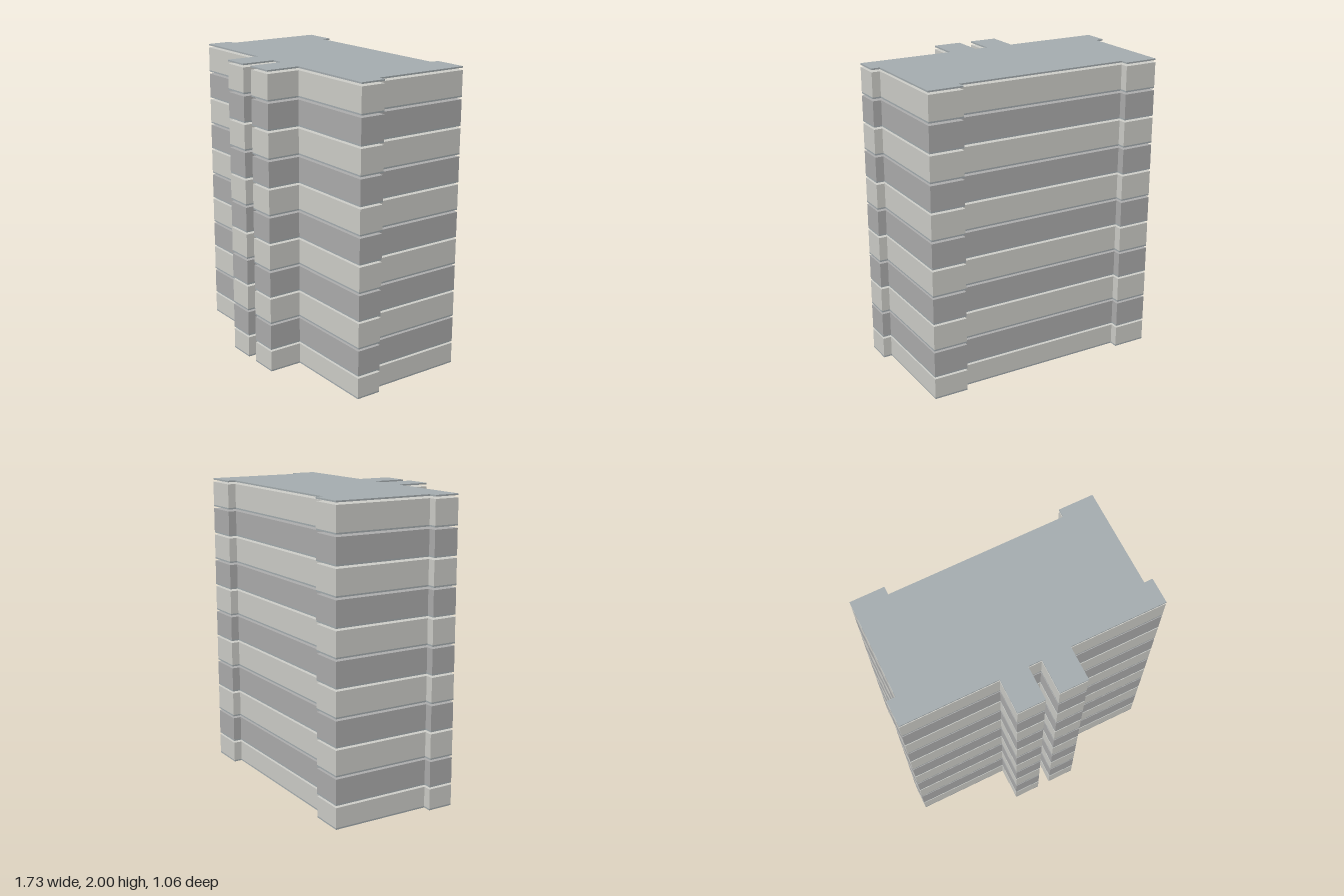
import * as THREE from 'three';

// Floor plan outline as [x, z]
const PLAN = [
  [-0.81, -0.53], [-0.585, -0.53], [-0.585, -0.475], [0.58, -0.475], [0.58, -0.53], [0.81, -0.53],
  [0.81, 0.13], [0.866, 0.13], [0.866, 0.3],
  [0.23, 0.3], [0.23, 0.527], [0.042, 0.527], [0.042, 0.3],
  [-0.047, 0.3], [-0.047, 0.527], [-0.23, 0.527], [-0.23, 0.3],
  [-0.866, 0.3], [-0.866, 0.13], [-0.81, 0.13],
];
const STOREYS = 11, PITCH = 0.1835, SLAB = 0.01, GAP = 0.014;

export function createModel() {
  const model = new THREE.Group();
  model.name = 'apartmentBlock';
  const plan = new THREE.Shape(PLAN.map(([x, z]) => new THREE.Vector2(x, -z)));
  const lightWall = new THREE.MeshStandardMaterial({ color: 0xcfcfca });
  const darkWall = new THREE.MeshStandardMaterial({ color: 0xaeaeae });
  const slabMat = new THREE.MeshStandardMaterial({ color: 0xa6aeb1 });

  // Extrudes the plan between two heights
  function layer(name, bottom, top, material) {
    const geo = new THREE.ExtrudeGeometry(plan, { depth: top - bottom, bevelEnabled: false });
    geo.rotateX(-Math.PI / 2);
    const mesh = new THREE.Mesh(geo, material);
    mesh.name = name;
    mesh.position.y = bottom;
    model.add(mesh);
  }

  // Storeys: a thin floor slab, the walls, then an open joint below the next slab
  const roofBottom = 2 - SLAB;
  for (let i = 0; i < STOREYS; i++) {
    const base = Math.max(0, roofBottom - (STOREYS - i) * PITCH);
    const next = roofBottom - (STOREYS - 1 - i) * PITCH;
    layer(`floorSlab${i + 1}`, base, base + SLAB, slabMat);
    layer(`storeyWalls${i + 1}`, base + SLAB, next - GAP, i % 2 ? darkWall : lightWall);
  }
  layer('roofSlab', roofBottom, 2, slabMat);
  return model;
}
